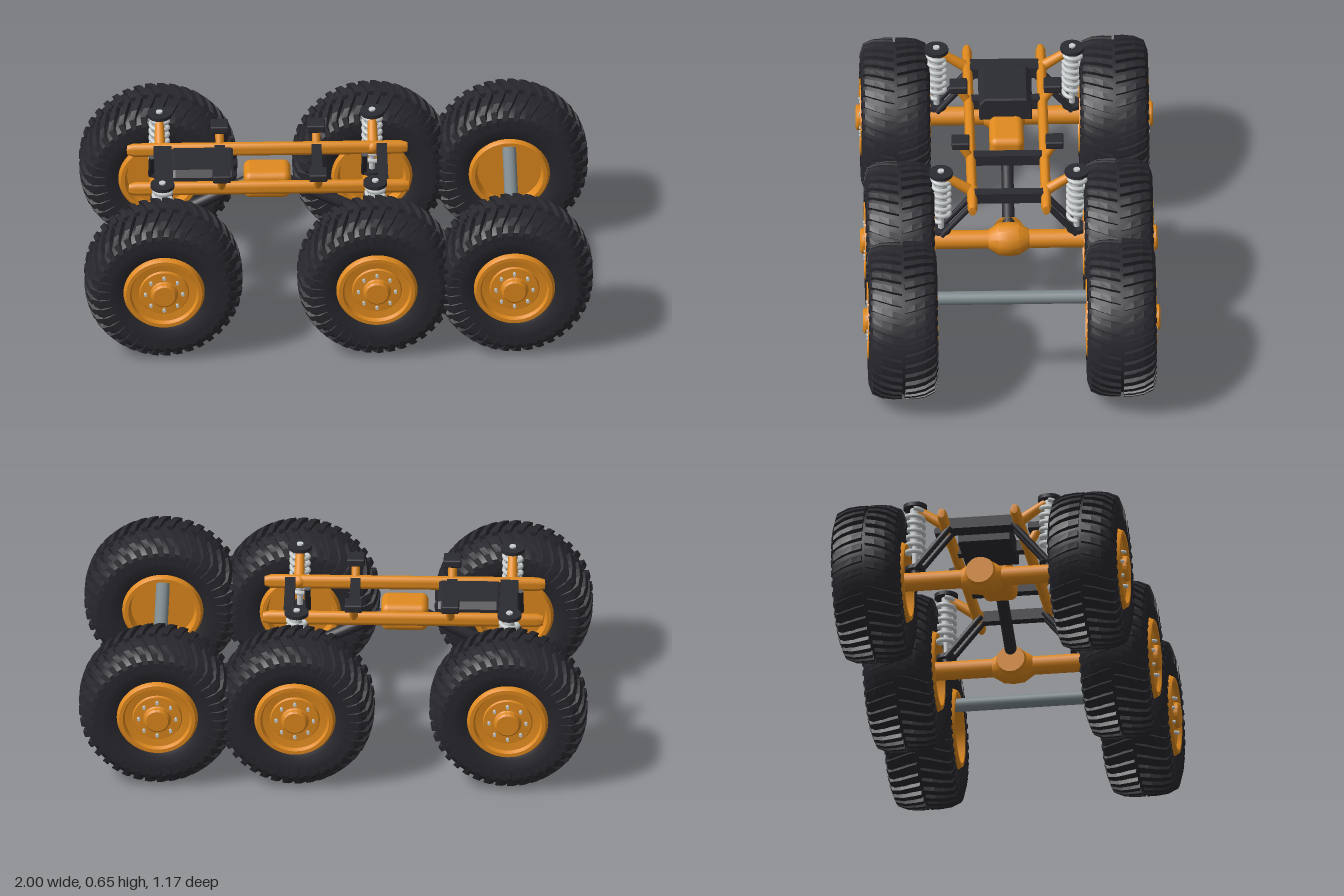
import * as THREE from 'three';
import { toCreasedNormals } from 'three/addons/utils/BufferGeometryUtils.js';
import { RoundedBoxGeometry } from 'three/addons/geometries/RoundedBoxGeometry.js';

const mat = (name, color) => {
  const m = new THREE.MeshStandardMaterial({ color });
  m.name = name;
  return m;
};
const V = (x, y, z) => new THREE.Vector3(x, y, z);

// Lathe about the z axis from [radius, z] pairs
function latheZ(pairs, segments = 48) {
  const g = new THREE.LatheGeometry(pairs.map(([r, z]) => new THREE.Vector2(r, z)), segments);
  g.rotateX(Math.PI / 2);
  return toCreasedNormals(g, 0.6);
}

// Chevron lugs: two staggered rows of curved blocks, swept over a few stations
function lugGeometry(count = 38) {
  const stations = [[0.006, 0.311, 0], [0.045, 0.311, 0.03], [0.085, 0.306, 0.075], [0.122, 0.29, 0.13], [0.136, 0.25, 0.15]];
  const pos = [];
  for (const s of [1, -1]) {
    for (let i = 0; i < count; i++) {
      const base = ((i + (s > 0 ? 0 : 0.5)) / count) * Math.PI * 2;
      const loops = stations.map(([z, r, shift]) => {
        const half = 0.047;
        return [[r - 0.04, -half], [r, -half * 0.85], [r, half * 0.85], [r - 0.04, half]].map(([q, a]) => {
          const t = base + shift + a;
          return [q * Math.cos(t), q * Math.sin(t), s * z];
        });
      });
      const tri = (a, b, c) => pos.push(...a, ...(s > 0 ? b : c), ...(s > 0 ? c : b));
      const quad = (a, b, c, d) => { tri(a, b, c); tri(a, c, d); };
      for (let j = 0; j < loops.length - 1; j++) {
        for (let k = 0; k < 4; k++) {
          const n = (k + 1) % 4;
          quad(loops[j][k], loops[j][n], loops[j + 1][n], loops[j + 1][k]);
        }
      }
      const first = loops[0], last = loops[loops.length - 1];
      quad(first[3], first[2], first[1], first[0]);
      quad(last[0], last[1], last[2], last[3]);
    }
  }
  const g = new THREE.BufferGeometry();
  g.setAttribute('position', new THREE.Float32BufferAttribute(pos, 3));
  g.computeVertexNormals();
  return g;
}

class Helix extends THREE.Curve {
  constructor(radius, height, turns) {
    super();
    Object.assign(this, { radius, height, turns });
  }
  getPoint(t, target = new THREE.Vector3()) {
    const a = t * this.turns * Math.PI * 2;
    return target.set(this.radius * Math.cos(a), t * this.height, this.radius * Math.sin(a));
  }
}

export function createModel() {
  const model = new THREE.Group();
  const rubber = mat('tyre rubber', 0x28282e);
  const dark = mat('dark metal', 0x2b2b32);
  const orange = mat('orange paint', 0xe08a1e);
  const steel = mat('grey steel', 0x7f8a8e);
  const light = mat('light metal', 0xc9cdce);

  const add = (parent, name, geometry, material, x = 0, y = 0, z = 0) => {
    const m = new THREE.Mesh(geometry, material);
    m.name = name;
    m.position.set(x, y, z);
    parent.add(m);
    return m;
  };
  const rod = (parent, name, a, b, r, material, r2 = r) => {
    const d = b.clone().sub(a);
    const m = add(parent, name, new THREE.CylinderGeometry(r2, r, d.length(), 20), material);
    m.position.copy(a).addScaledVector(d, 0.5);
    m.quaternion.setFromUnitVectors(V(0, 1, 0), d.normalize());
    return m;
  };

  const axleY = 0.317, wheelZ = 0.43, axles = [-0.69, 0.147], rear = 0.688;

  // Wheels
  const tyreGeo = latheZ([[0.15, -0.115], [0.175, -0.128], [0.22, -0.134], [0.262, -0.13], [0.282, -0.11], [0.291, -0.07],
    [0.293, 0], [0.291, 0.07], [0.282, 0.11], [0.262, 0.13], [0.22, 0.134], [0.175, 0.128], [0.15, 0.115]], 64);
  const lugGeo = lugGeometry();
  const rimGeo = latheZ([[0, -0.1], [0.125, -0.1], [0.135, -0.138], [0.15, -0.138], [0.16, -0.12], [0.16, 0.12], [0.15, 0.139],
    [0.135, 0.139], [0.128, 0.124], [0.098, 0.12], [0.094, 0.128], [0.055, 0.13], [0.05, 0.134], [0.05, 0.149], [0.043, 0.155], [0, 0.155]]);
  const boltGeo = new THREE.CylinderGeometry(0.007, 0.007, 0.016, 6).rotateX(Math.PI / 2);
  for (const x of [...axles, rear]) {
    for (const s of [1, -1]) {
      const wheel = new THREE.Group();
      wheel.name = 'wheel';
      wheel.position.set(x, axleY, s * wheelZ);
      add(wheel, 'tyre', tyreGeo, rubber);
      add(wheel, 'tread', lugGeo, rubber);
      const rim = add(wheel, 'rim', rimGeo, orange);
      if (s < 0) rim.rotation.y = Math.PI;
      for (let i = 0; i < 8; i++) {
        const a = (i / 8) * Math.PI * 2;
        add(rim, 'wheelBolt', boltGeo, light, 0.073 * Math.cos(a), 0.073 * Math.sin(a), 0.134);
      }
      model.add(wheel);
    }
  }

  // Rear cross shaft
  rod(model, 'rearShaft', V(rear, 0.42, -0.335), V(rear, 0.42, 0.335), 0.027, steel);

  // Driven axles with differential housings
  const diffGeo = latheZ([[0, -0.082], [0.038, -0.08], [0.064, -0.04], [0.068, 0], [0.064, 0.04], [0.038, 0.08], [0, 0.082]], 12);
  for (const x of axles) {
    rod(model, 'axleTube', V(x, axleY, -0.34), V(x, axleY, 0.34), 0.037, orange);
    add(model, 'differential', diffGeo, orange, x, axleY);
    rod(model, 'differentialCover', V(x - 0.078, axleY, 0), V(x - 0.06, axleY, 0), 0.055, orange, 0.062);
  }

  // Frame rails with tapered ends
  for (const s of [1, -1]) {
    const rail = new THREE.LatheGeometry([[0, -0.553], [0.014, -0.551], [0.02, -0.525], [0.02, 0.525], [0.014, 0.551], [0, 0.553]]
      .map(([r, h]) => new THREE.Vector2(r, h)), 20);
    rail.rotateZ(-Math.PI / 2).scale(1, 1.45, 1);
    add(model, 'frameRail', toCreasedNormals(rail, 0.6), orange, -0.268, 0.548, s * 0.145);
  }

  // Cross members
  for (const [x, w] of [[-0.68, 0.07], [-0.455, 0.04], [-0.075, 0.04], [0.182, 0.04]]) {
    add(model, 'crossMember', new THREE.BoxGeometry(w, 0.045, 0.28), dark, x, 0.55);
  }

  // Body mounts on the rails
  for (const x of [-0.455, -0.075]) {
    for (const s of [1, -1]) {
      rod(model, 'mountStem', V(x, 0.55, s * 0.145), V(x, 0.618, s * 0.185), 0.017, orange);
      add(model, 'mountPad', new RoundedBoxGeometry(0.07, 0.032, 0.07, 2, 0.006), dark, x, 0.628, s * 0.185);
    }
  }

  // Suspension: coil-over, top arm, and links down to the axle
  const coilGeo = new THREE.TubeGeometry(new Helix(0.034, 0.2, 6.5), 150, 0.009, 8);
  for (const x of axles) {
    for (const s of [1, -1]) {
      const z = s * 0.267;
      add(model, 'spring', coilGeo, light, x, 0.422, z);
      rod(model, 'damperBody', V(x, 0.47, z), V(x, 0.63, z), 0.02, light);
      rod(model, 'damperRod', V(x, 0.36, z), V(x, 0.48, z), 0.012, light);
      rod(model, 'springSeat', V(x, 0.362, z), V(x, 0.378, z), 0.04, dark);
      rod(model, 'damperFoot', V(x, axleY, z), V(x, 0.364, z), 0.018, dark);
      rod(model, 'springCap', V(x, 0.63, z), V(x, 0.645, z), 0.047, dark);
      rod(model, 'capBolt', V(x, 0.64, z), V(x, 0.652, z), 0.013, light);
      rod(model, 'topArm', V(x, 0.55, s * 0.145), V(x, 0.622, s * 0.25), 0.022, orange, 0.017);
      add(model, 'armElbow', new THREE.SphereGeometry(0.026, 16, 12), orange, x, 0.55, s * 0.145);
      for (const dx of [-0.032, 0.032]) {
        rod(model, 'axleLink', V(x + dx, 0.53, s * 0.125), V(x + dx, 0.36, s * 0.265), 0.012, dark);
      }
    }
  }

  // Motor block with bevelled top
  const block = new THREE.Shape([[-0.1, 0.5], [0.1, 0.5], [0.1, 0.568], [0.08, 0.59], [-0.08, 0.59], [-0.1, 0.568]]
    .map(([z, y]) => new THREE.Vector2(z, y)));
  const motorGeo = new THREE.ExtrudeGeometry(block, { depth: 0.22, bevelThickness: 0.01, bevelSize: 0.004, bevelSegments: 1 });
  motorGeo.rotateY(Math.PI / 2);
  add(model, 'motor', motorGeo, dark, -0.635);

  // Gearbox and drive shafts
  add(model, 'gearbox', new RoundedBoxGeometry(0.185, 0.115, 0.135, 3, 0.028), orange, -0.272, 0.5);
  rod(model, 'frontDriveShaft', V(-0.35, 0.49, 0), V(-0.64, 0.34, 0), 0.024, dark);
  rod(model, 'rearDriveShaft', V(-0.19, 0.49, 0), V(0.1, 0.345, 0), 0.024, dark);
  return model;
}
